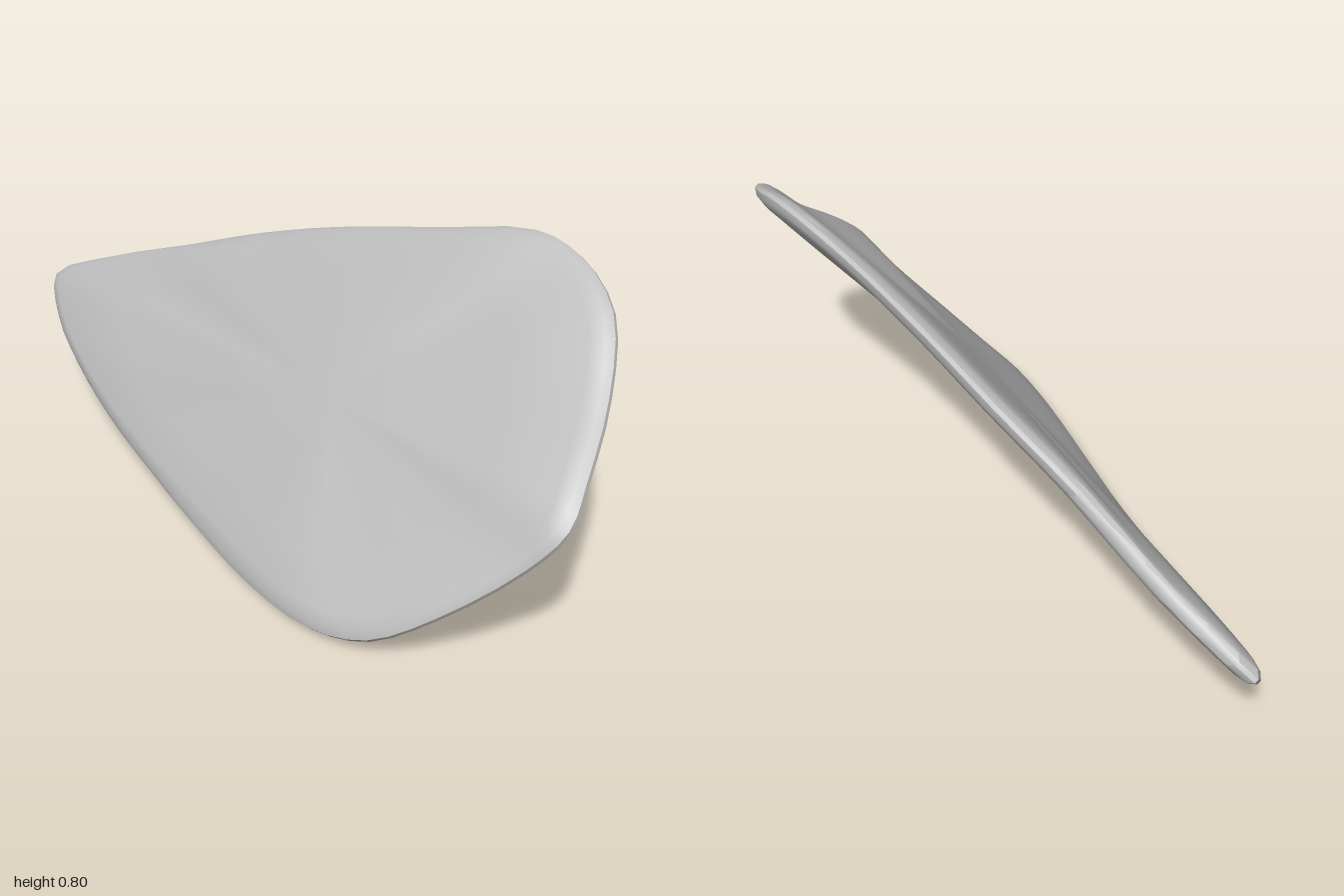
import * as THREE from 'three';
import { toCreasedNormals } from 'three/addons/utils/BufferGeometryUtils.js';

// Edge line of the tilted slab, clockwise from its rear tip
const EDGE = [
  [0.095, 0.285, -0.997], [0.155, 0.385, -0.8], [0.19, 0.5, -0.5], [0.235, 0.595, -0.25],
  [0.265, 0.675, 0], [0.30, 0.75, 0.3], [0.343, 0.803, 0.55], [0.335, 0.78, 0.68],
  [0.27, 0.71, 0.82], [0.15, 0.58, 0.91], [0.0, 0.46, 0.975], [-0.08, 0.385, 0.997],
  [-0.14, 0.29, 0.94], [-0.25, 0.15, 0.8], [-0.32, 0.06, 0.67], [-0.346, 0.025, 0.52],
  [-0.32, 0.015, 0.3], [-0.245, 0.023, 0], [-0.175, 0.04, -0.25], [-0.11, 0.078, -0.5],
  [-0.045, 0.138, -0.72], [0.025, 0.205, -0.9],
];

// Rings from the middle to the rim: fraction outward, inset from the edge, height
const RINGS = [[0, 0, 1], [0.35, 0, 1], [0.7, 0, 0.98], [1, 0.05, 0.9], [1, 0.016, 0.65], [1, 0, 0.2]];
const HALF_THICKNESS = 0.028;
const SEGMENTS = 66;

function slabGeometry() {
  const curve = new THREE.CatmullRomCurve3(EDGE.map(p => new THREE.Vector3(...p)), true);
  const centre = new THREE.Vector3(0, 0.375, 0.25);
  const normal = new THREE.Vector3(-1.14, 1, -0.155).normalize();
  const rows = [...RINGS.map(r => [...r, 1]), ...[...RINGS].reverse().map(r => [...r, -1])];
  const positions = [], index = [];
  for (const [out, inset, height, side] of rows) {
    for (let j = 0; j < SEGMENTS; j++) {
      const ray = curve.getPoint(j / SEGMENTS).sub(centre);
      const scale = out * (1 - inset / ray.length());
      const p = centre.clone().addScaledVector(ray, scale)
        .addScaledVector(normal, side * height * HALF_THICKNESS);
      positions.push(p.x, p.y, p.z);
    }
  }
  const last = rows.length - 2;
  for (let i = 0; i <= last; i++) {
    for (let j = 0; j < SEGMENTS; j++) {
      const k = (j + 1) % SEGMENTS;
      const a = i * SEGMENTS + j, d = i * SEGMENTS + k;
      const b = a + SEGMENTS, c = d + SEGMENTS;
      if (i < last) index.push(a, c, b);
      if (i > 0) index.push(a, d, c);
    }
  }
  const geometry = new THREE.BufferGeometry();
  geometry.setAttribute('position', new THREE.Float32BufferAttribute(positions, 3));
  geometry.setIndex(index);
  return toCreasedNormals(geometry, 0.6);
}

export function createModel() {
  const group = new THREE.Group();
  group.name = 'slab';
  const grey = new THREE.MeshStandardMaterial({ color: 0xbdbdbd });
  grey.name = 'plain grey';
  const slab = new THREE.Mesh(slabGeometry(), grey);
  slab.name = 'curvedSlab';
  group.add(slab);
  return group;
}
